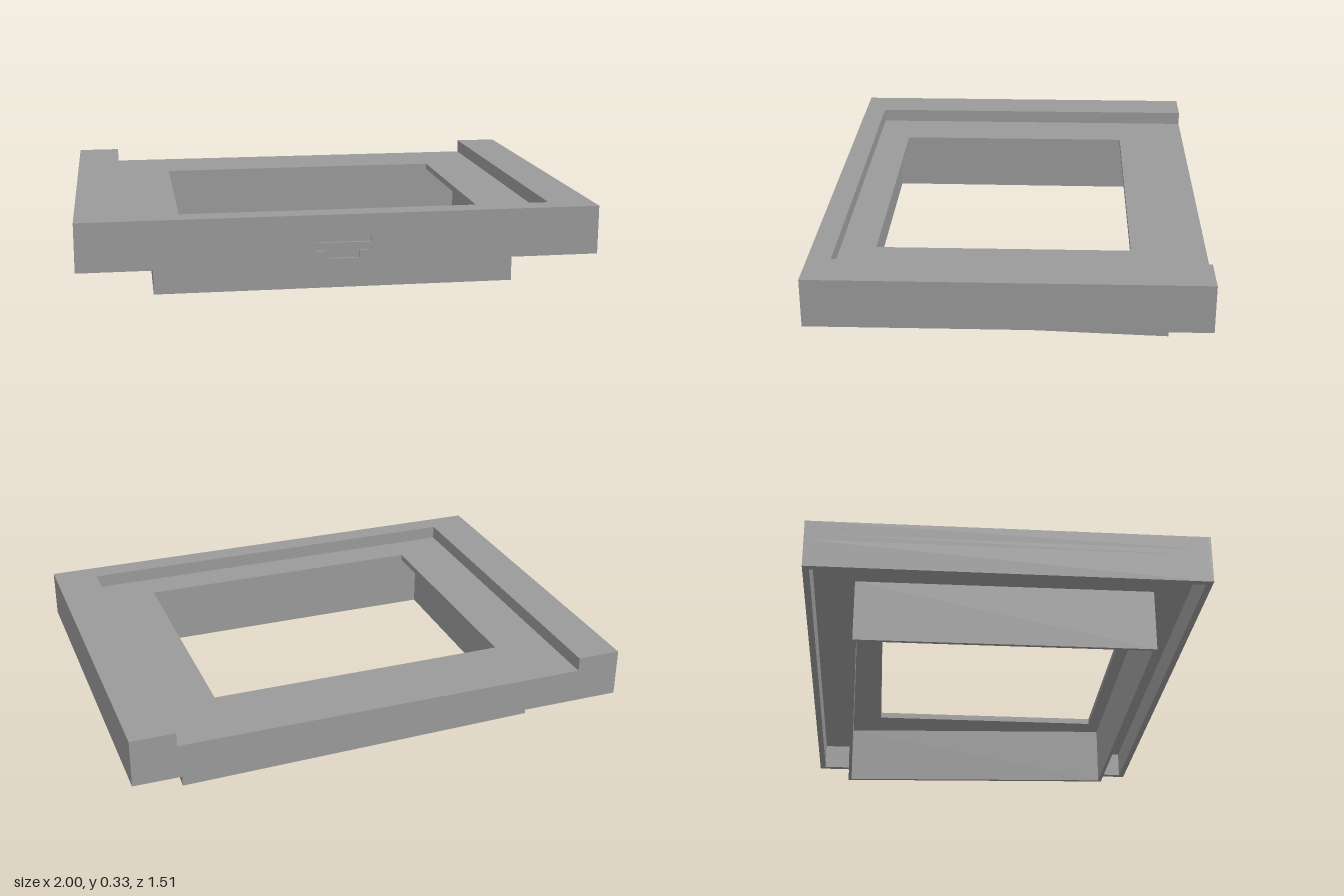
import * as THREE from 'three';

const material = new THREE.MeshStandardMaterial({ color: 0x9a9a9a });

// Corner list to counter-clockwise points, so hole walls face the right way
function toPoints(list, sign) {
  const points = list.map(([a, b]) => new THREE.Vector2(a, sign * b));
  return THREE.ShapeUtils.isClockWise(points) ? points.reverse() : points;
}
const rect = (x0, x1, z0, z1) => [[x0, z0], [x1, z0], [x1, z1], [x0, z1]];

// Horizontal slab: [x, z] outline with optional hole, from y0 up to y1
function slab(name, outline, hole, y0, y1) {
  const shape = new THREE.Shape(toPoints(outline, -1));
  if (hole) shape.holes.push(new THREE.Path(toPoints(hole, -1)));
  const geo = new THREE.ExtrudeGeometry(shape, { depth: y1 - y0, bevelEnabled: false });
  geo.rotateX(-Math.PI / 2).translate(0, y0, 0);
  const mesh = new THREE.Mesh(geo, material);
  mesh.name = name;
  return mesh;
}

// Rounded slot outline in the front plane
function roundedSlot(x0, x1, y0, y1, r) {
  const p = new THREE.Path();
  p.moveTo(x0 + r, y0).lineTo(x1 - r, y0);
  p.quadraticCurveTo(x1, y0, x1, y0 + r).lineTo(x1, y1 - r);
  p.quadraticCurveTo(x1, y1, x1 - r, y1).lineTo(x0 + r, y1);
  p.quadraticCurveTo(x0, y1, x0, y1 - r).lineTo(x0, y0 + r);
  p.quadraticCurveTo(x0, y0, x0 + r, y0);
  return p;
}

export function createModel() {
  const group = new THREE.Group();
  group.name = 'frameTray';

  const bottom = 0.14, ceiling = 0.25, floor = 0.275, top = 0.33;
  const half = 0.753, skin = 0.01, front = half - skin, wall = 0.025;

  // Tray floor with the large window
  group.add(slab('trayFloor', rect(-1, 1, -half, front), rect(-0.6, 0.6, -0.462, 0.524), ceiling, floor));

  // Raised rim on three sides, open at the back
  const rim = [[-1, -half], [-0.825, -half], [-0.825, 0.663], [0.825, 0.663],
    [0.825, -half], [1, -half], [1, front], [-1, front]];
  group.add(slab('raisedRim', rim, null, floor, top));

  // Thin outer walls around the hollow underside
  group.add(slab('outerWalls', rect(-1, 1, -half, front),
    rect(-1 + wall, 1 - wall, -half + wall, half - wall), bottom, ceiling));

  // Front panel with a shallow slot and a stepped socket
  const panel = new THREE.Shape(toPoints(rect(-1, 1, bottom, top), 1));
  panel.holes.push(roundedSlot(-0.109, 0.108, 0.222, 0.247, 0.008));
  panel.holes.push(new THREE.Path(toPoints([[-0.109, 0.2], [0.108, 0.2], [0.108, 0.19],
    [0.062, 0.19], [0.062, 0.16], [-0.062, 0.16], [-0.062, 0.19], [-0.109, 0.19]], 1)));
  const panelGeo = new THREE.ExtrudeGeometry(panel, { depth: skin, bevelEnabled: false });
  const frontPanel = new THREE.Mesh(panelGeo.translate(0, 0, front), material);
  frontPanel.name = 'frontPanel';
  group.add(frontPanel);

  // Thin, slightly skewed skirt hanging from the floor
  const skirt = [[-0.71, 0.59], [0.707, 0.59], [0.778, -0.607], [-0.703, -0.57]];
  const inner = skirt.map(([x, z]) => [x - 0.014 * Math.sign(x), z - 0.014 * Math.sign(z)]);
  group.add(slab('lowerSkirt', skirt, inner, 0, ceiling));

  return group;
}
